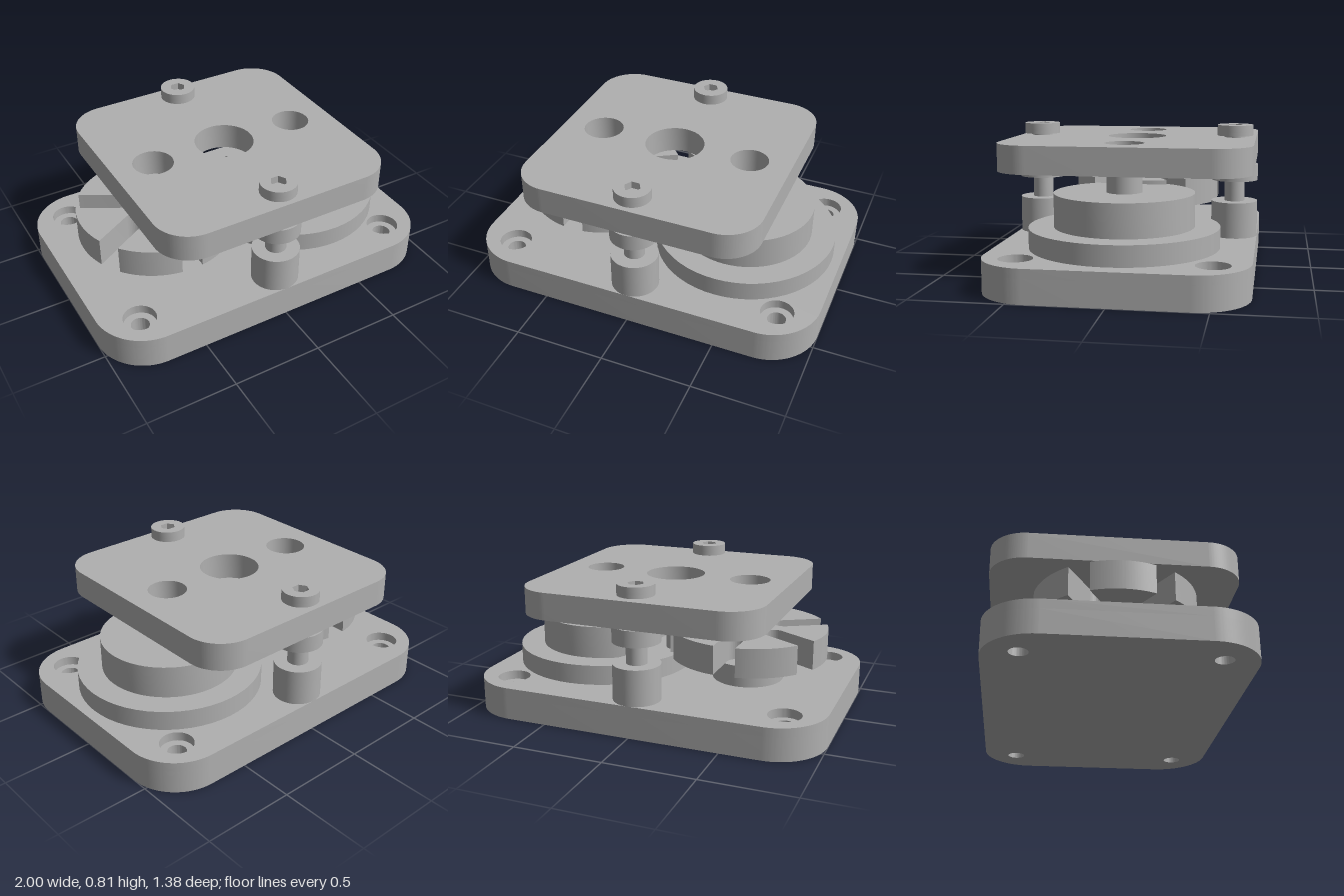
import * as THREE from 'three';
import { toCreasedNormals } from 'three/addons/utils/BufferGeometryUtils.js';

const metal = new THREE.MeshStandardMaterial({ color: 0xb0b0b0 });
metal.name = 'plain grey';

const TAU = Math.PI * 2;
const WHEEL_X = -0.44, DRIVER_X = 0.44;

// Stand a flat outline upright between heights y0 and y1
function slab(name, shape, y0, y1, x = 0, z = 0) {
  const geo = new THREE.ExtrudeGeometry(shape, { depth: y1 - y0, bevelEnabled: false, curveSegments: 28 });
  geo.rotateX(-Math.PI / 2);
  const mesh = new THREE.Mesh(toCreasedNormals(geo, 0.5), metal);
  mesh.name = name;
  mesh.position.set(x, y0, z);
  return mesh;
}

function rod(name, r, y0, y1, x = 0, z = 0) {
  const mesh = new THREE.Mesh(new THREE.CylinderGeometry(r, r, y1 - y0, 56), metal);
  mesh.name = name;
  mesh.position.set(x, (y0 + y1) / 2, z);
  return mesh;
}

function circle(r, x = 0, y = 0) {
  const path = new THREE.Shape();
  path.absarc(x, y, r, 0, TAU, false);
  return path;
}

// Rounded rectangle with round holes given as [x, y, radius]
function plate(w, d, r, holes) {
  const s = new THREE.Shape();
  const cx = w / 2 - r, cy = d / 2 - r;
  [[cx, cy], [-cx, cy], [-cx, -cy], [cx, -cy]].forEach(([x, y], i) =>
    s.absarc(x, y, r, i * Math.PI / 2, (i + 1) * Math.PI / 2, false));
  s.closePath();
  s.holes = holes.map(([x, y, hr]) => circle(hr, x, y));
  return s;
}

// Disc with six round-ended radial slots
function slottedWheel(R, half, inner) {
  const s = new THREE.Shape();
  const d = Math.asin(half / R);
  for (let k = 0; k < 6; k++) {
    const a = Math.PI / 6 + k * Math.PI / 3;
    s.absarc(0, 0, R, a - Math.PI / 3 + d, a - d, false);
    s.absarc(inner * Math.cos(a), inner * Math.sin(a), half, a - Math.PI / 2, a - Math.PI * 1.5, true);
  }
  s.closePath();
  return s;
}

// Disc with a hollow on its -x side, cut by a circle of radius R at distance dist
function crescentDisc(r, R, dist) {
  const x = (R * R - r * r - dist * dist) / (2 * dist);
  const y = Math.sqrt(r * r - x * x);
  const a = Math.atan2(y, x), b = Math.atan2(y, x + dist);
  const s = new THREE.Shape();
  s.absarc(0, 0, r, -a, a, false);
  s.absarc(-dist, 0, R, b, -b, true);
  s.closePath();
  return s;
}

function createModel() {
  const model = new THREE.Group();
  model.name = 'indexing mechanism';

  // Base plate with counterbored corner holes
  const base = new THREE.Group();
  base.name = 'basePlate';
  const corners = r => [[0.79, 0.5, r], [-0.79, 0.5, r], [-0.79, -0.5, r], [0.79, -0.5, r]];
  base.add(slab('baseLower', plate(2, 1.38, 0.28, corners(0.05)), 0, 0.13));
  base.add(slab('baseUpper', plate(2, 1.38, 0.28, corners(0.09)), 0.13, 0.18));
  model.add(base);

  // Top plate with bearing holes and a central window
  model.add(slab('topPlate', plate(1.35, 1.355, 0.2, [
    [0, 0, 0.165], [WHEEL_X, 0, 0.112], [DRIVER_X, 0, 0.105],
  ]), 0.59, 0.74));

  // Slotted wheel on its pedestal
  const wheel = new THREE.Group();
  wheel.name = 'slottedWheelAssembly';
  wheel.position.x = WHEEL_X;
  wheel.add(rod('wheelPedestal', 0.2, 0.18, 0.3));
  wheel.add(rod('wheelAxle', 0.046, 0.3, 0.55));
  wheel.add(slab('slottedWheel', slottedWheel(0.44, 0.06, 0.2), 0.32, 0.48));
  const boss = circle(0.1);
  boss.holes.push(circle(0.046));
  wheel.add(slab('wheelBoss', boss, 0.48, 0.57));
  model.add(wheel);

  // Driver with locking disc and drive pin
  const driver = new THREE.Group();
  driver.name = 'driverAssembly';
  driver.position.x = DRIVER_X;
  driver.add(rod('driverFoot', 0.2, 0.18, 0.19));
  driver.add(rod('driverDisc', 0.51, 0.19, 0.3));
  driver.add(slab('lockingDisc', crescentDisc(0.375, 0.6, 0.88), 0.3, 0.48));
  driver.add(rod('driverShaft', 0.096, 0.48, 0.6));
  driver.add(rod('drivePin', 0.055, 0.3, 0.46, -0.44));
  model.add(driver);

  // Front and back posts, each with a collar and a hex socket screw
  for (const side of [1, -1]) {
    const post = new THREE.Group();
    post.name = side > 0 ? 'frontPost' : 'backPost';
    post.position.z = side * 0.56;
    post.add(rod('postPillar', 0.13, 0.18, 0.38));
    post.add(rod('screwShank', 0.057, 0.38, 0.75));
    post.add(rod('postCollar', 0.13, 0.5, 0.59));
    post.add(rod('screwHeadFloor', 0.1, 0.75, 0.77));
    const head = circle(0.1);
    head.holes.push(new THREE.Path(Array.from({ length: 6 }, (_, i) =>
      new THREE.Vector2(0.045 * Math.cos(i * TAU / 6), 0.045 * Math.sin(i * TAU / 6)))));
    post.add(slab('screwHead', head, 0.77, 0.81));
    model.add(post);
  }
  return model;
}

export { createModel };
